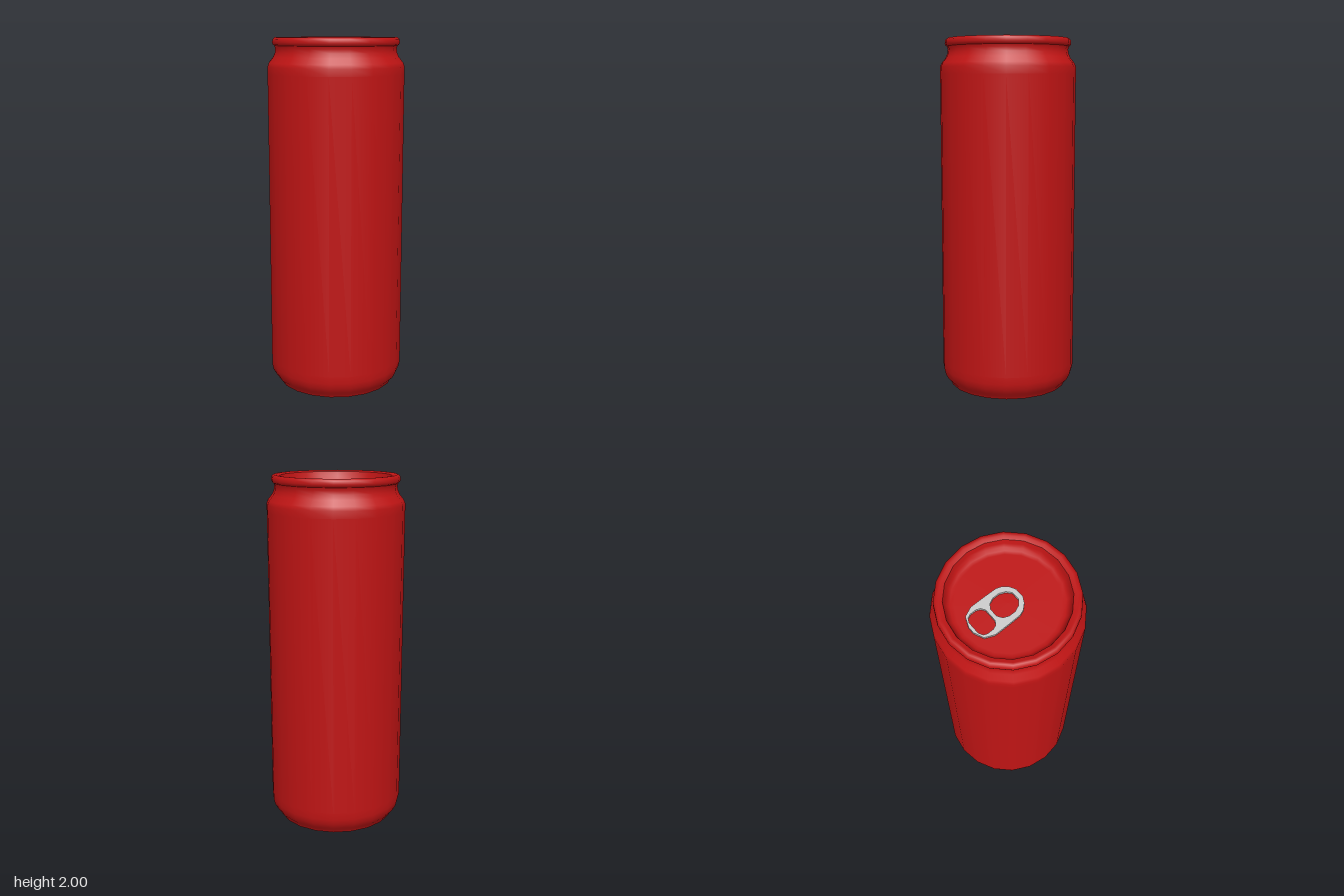
import * as THREE from 'three';

const SIDES = 20;
const v2 = ([x, y]) => new THREE.Vector2(x, y);

// Half outline (x >= 0) mirrored into a closed loop
const mirrored = (half) => [
  ...half.map(v2),
  ...half.slice().reverse().map(([x, y]) => v2([-x, y])),
];

export function createModel() {
  const can = new THREE.Group();
  can.name = 'drinkCan';
  const red = new THREE.MeshStandardMaterial({ color: 0xbf1414 });
  const grey = new THREE.MeshStandardMaterial({ color: 0xcccccc });

  const addLathe = (name, profile) => {
    const mesh = new THREE.Mesh(new THREE.LatheGeometry(profile.map(v2), SIDES), red);
    mesh.name = name;
    can.add(mesh);
  };

  // Concave base with its standing ring
  addLathe('baseDome', [
    [0, 0.09], [0.1, 0.085], [0.2, 0.065], [0.27, 0.035], [0.3, 0.015], [0.315, 0], [0.335, 0],
  ]);

  // Chamfered foot, straight wall and tapered neck
  addLathe('body', [
    [0.335, 0], [0.343, 0.018], [0.362, 0.038], [0.378, 0.068], [0.385, 0.1],
    [0.385, 0.14], [0.385, 1.8], [0.385, 1.84], [0.377, 1.862], [0.352, 1.893],
    [0.342, 1.918], [0.34, 1.94], [0.345, 1.955],
  ]);

  // Rolled rim
  addLathe('rim', [
    [0.345, 1.955], [0.353, 1.96], [0.357, 1.972], [0.355, 1.99], [0.343, 2],
    [0.33, 1.999], [0.311, 1.993],
  ]);

  // Recessed lid
  addLathe('lid', [
    [0.311, 1.993], [0.304, 1.968], [0.295, 1.945], [0.28, 1.936], [0.26, 1.935], [0, 1.935],
  ]);

  // Pull tab: flat plate with two openings, drawn as x / z
  const plate = new THREE.Shape(mirrored([
    [0.018, -0.228], [0.07, -0.206], [0.092, -0.155], [0.092, -0.07],
    [0.09, 0], [0.08, 0.027], [0.055, 0.055], [0.025, 0.071],
  ]));
  const openings = [
    [[0.033, -0.212], [0.056, -0.2], [0.065, -0.18], [0.065, -0.145], [0.056, -0.124], [0.035, -0.11]],
    [[0.022, -0.09], [0.048, -0.073], [0.061, -0.043], [0.061, -0.008], [0.047, 0.025], [0.022, 0.046]],
  ];
  for (const half of openings) plate.holes.push(new THREE.Path(mirrored(half)));
  const tabGeometry = new THREE.ExtrudeGeometry(plate, { depth: 0.014, bevelEnabled: false });
  tabGeometry.rotateX(Math.PI / 2);
  const tab = new THREE.Mesh(tabGeometry, grey);
  tab.name = 'pullTab';
  tab.position.y = 1.951;
  can.add(tab);

  return can;
}
